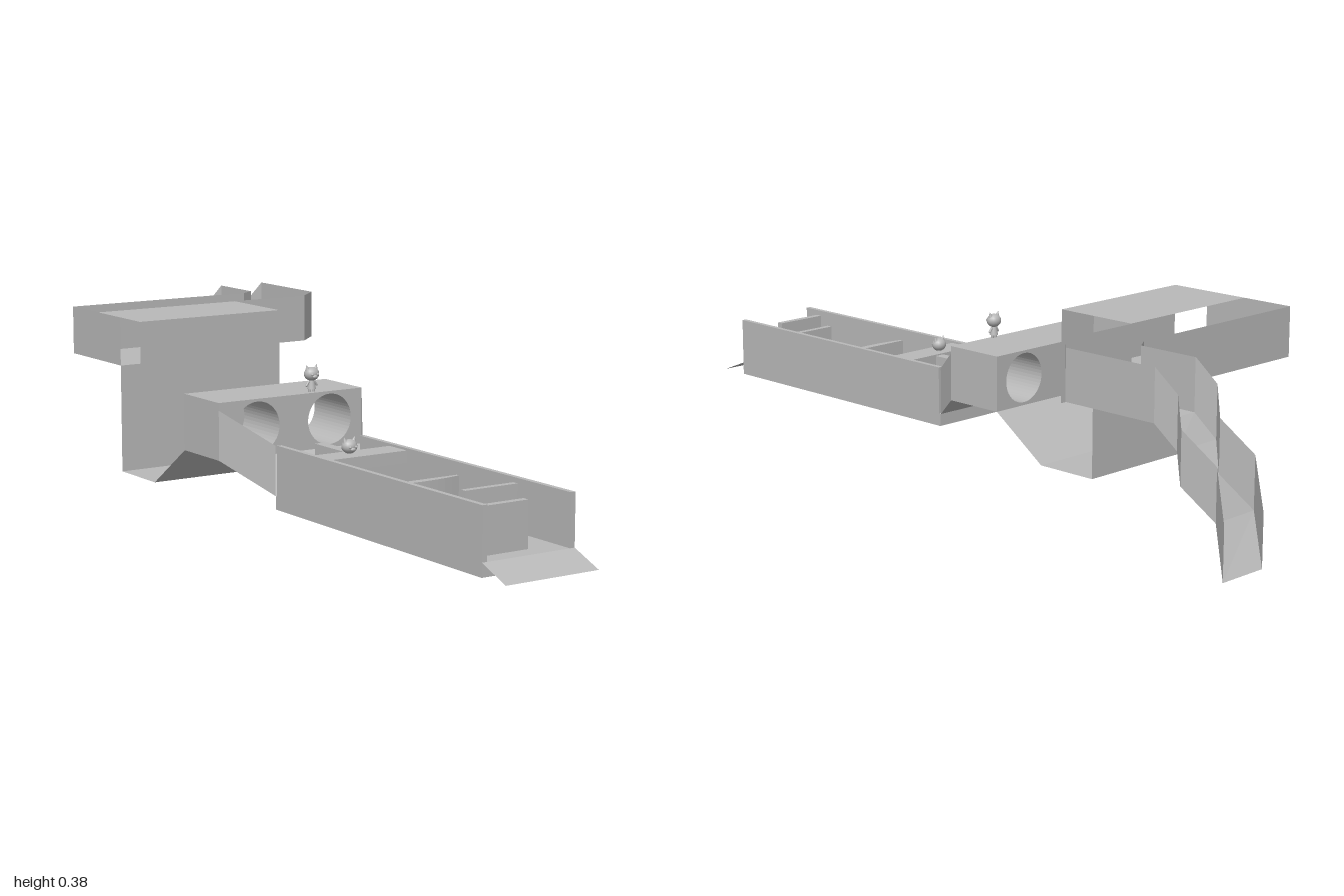
import * as THREE from 'three';

const grey = new THREE.MeshStandardMaterial({ color: 0xb8b8b8, side: THREE.DoubleSide });
grey.name = 'plain grey';

export function createModel() {
  const root = new THREE.Group();
  root.name = 'obstacleCourse';

  const add = (name, geometry, parent = root, x = 0, y = 0, z = 0) => {
    const m = new THREE.Mesh(geometry, grey);
    m.name = name;
    m.position.set(x, y, z);
    parent.add(m);
    return m;
  };
  // Box given by its minimum and maximum corners
  const box = (name, x0, x1, y0, y1, z0, z1) =>
    add(name, new THREE.BoxGeometry(x1 - x0, y1 - y0, z1 - z0), root, (x0 + x1) / 2, (y0 + y1) / 2, (z0 + z1) / 2);
  // Thin sheet spanned between two matching polylines, flat facets
  const sheet = (name, a, b) => {
    const pos = [];
    for (let i = 0; i + 1 < a.length; i++) {
      pos.push(...a[i], ...a[i + 1], ...b[i + 1], ...a[i], ...b[i + 1], ...b[i]);
    }
    const g = new THREE.BufferGeometry();
    g.setAttribute('position', new THREE.Float32BufferAttribute(pos, 3));
    g.computeVertexNormals();
    return add(name, g);
  };
  const raise = (line, h) => line.map(([x, y, z]) => [x, y + h, z]);

  const TL = -0.27, TR = -0.04; // trough sides
  const BL = -0.345, BR = 0.035; // block sides

  // Trough: floor slab, side walls, entry ramp
  box('troughFloor', TL, TR, 0.015, 0.045, 0.185, 0.925);
  box('troughWallRight', TL, TL + 0.012, 0.02, 0.158, 0.19, 0.925);
  box('troughWallLeft', TR - 0.012, TR, 0.02, 0.158, 0.19, 0.925);
  sheet('entryRamp', [[TL, 0.045, 0.925], [TL, 0.015, 1]], [[TR, 0.045, 0.925], [TR, 0.015, 1]]);

  // Staggered barriers inside the trough
  box('barrierFront', -0.258, -0.125, 0.045, 0.145, 0.868, 0.884);
  box('barrierRear', -0.185, -0.052, 0.045, 0.147, 0.742, 0.757);

  // Bowed barrier
  const bow = new THREE.Shape();
  bow.moveTo(-0.258, 0.55);
  bow.lineTo(-0.258, 0.558);
  bow.quadraticCurveTo(-0.155, 0.58, -0.052, 0.558);
  bow.lineTo(-0.052, 0.55);
  const bowGeo = new THREE.ExtrudeGeometry(bow, { depth: 0.085, bevelEnabled: false, curveSegments: 10 });
  bowGeo.rotateX(Math.PI / 2);
  add('bowedBarrier', bowGeo, root, 0, 0.13, 0);

  // T-shaped bridge across the trough
  box('bridgeBar', -0.258, -0.052, 0.125, 0.153, 0.305, 0.37);
  box('bridgeStem', -0.165, -0.14, 0.125, 0.15, 0.18, 0.305);

  // Flared passage from trough to tunnel block
  const flareA = [[TL, 0.045, 0.183], [BL, 0.113, 0.07]];
  const flareB = [[TR, 0.045, 0.183], [BR, 0.113, 0.07]];
  sheet('flareFloor', flareA, flareB);
  sheet('flareWallRight', flareA, raise(flareA, 0.112));
  sheet('flareWallLeft', flareB, raise(flareB, 0.112));

  // Block pierced by two round tunnels
  const face = new THREE.Shape();
  face.moveTo(BL, 0.113);
  face.lineTo(BR, 0.113);
  face.lineTo(BR, 0.242);
  face.lineTo(BL, 0.242);
  for (const cx of [-0.245, -0.053]) {
    const hole = new THREE.Path();
    hole.absarc(cx, 0.178, 0.058, 0, Math.PI * 2, true);
    face.holes.push(hole);
  }
  add('tunnelBlock', new THREE.ExtrudeGeometry(face, { depth: 0.15, bevelEnabled: false, curveSegments: 24 }), root, 0, 0, -0.08);

  // Open shaft: slope, floor and back wall, then the hood above
  const across = (name, yz) => sheet(name, yz.map(([y, z]) => [BL, y, z]), yz.map(([y, z]) => [BR, y, z]));
  across('shaftFloor', [[0.113, -0.08], [0.015, -0.22], [0.015, -0.375], [0.268, -0.375]]);
  across('shaftHood', [[0.17, -0.28], [0.382, -0.28], [0.382, -0.483]]);

  // Upper corridor with a bend
  const Y = 0.268;
  const outer = [[BR, -0.375], [BR, -0.485], [0.24, -0.485], [0.298, -0.54], [0.298, -0.78]];
  const inner = [[BL, -0.375], [BL, -0.612], [0.14, -0.612], [0.175, -0.635], [0.175, -0.78]];
  const plan = new THREE.Shape([...outer, ...inner.slice().reverse()].map(([x, z]) => new THREE.Vector2(x, z)));
  const floorGeo = new THREE.ShapeGeometry(plan);
  floorGeo.rotateX(Math.PI / 2);
  // Turn the triangles so the floor faces up
  const idx = floorGeo.index.array;
  for (let i = 0; i < idx.length; i += 3) [idx[i], idx[i + 1]] = [idx[i + 1], idx[i]];
  floorGeo.computeVertexNormals();
  add('corridorFloor', floorGeo, root, 0, Y, 0);
  for (const [name, line] of [['corridorWallOuter', outer], ['corridorWallInner', inner]]) {
    const base = line.map(([x, z]) => [x, Y, z]);
    sheet(name, base, raise(base, 0.114));
  }

  // Zigzag chute down to the ground
  const chuteL = [[0.175, Y, -0.78], [0.153, 0.215, -0.82], [0.203, 0.163, -0.87], [0.148, 0.086, -0.917], [0.222, 0, -1]];
  const chuteR = [[0.298, Y, -0.78], [0.277, 0.215, -0.823], [0.324, 0.163, -0.873], [0.27, 0.086, -0.92], [0.342, 0, -1]];
  sheet('chuteFloor', chuteL, chuteR);
  sheet('chuteWallRight', chuteL, raise(chuteL, 0.115));
  sheet('chuteWallLeft', chuteR, raise(chuteR, 0.115));

  // Small cat-eared figures
  const figure = (name, x, y, z) => {
    const g = new THREE.Group();
    g.name = name;
    g.position.set(x, y, z);
    root.add(g);
    const ball = (part, r, px, py, pz, sx = 1, sy = 1, sz = 1) =>
      add(part, new THREE.SphereGeometry(r, 16, 12), g, px, py, pz).scale.set(sx, sy, sz);
    ball('head', 0.017, 0, 0.041, 0, 1.06, 0.92, 0.95);
    ball('muzzle', 0.005, 0, 0.036, 0.015, 1.3, 0.8, 0.7);
    add('body', new THREE.CylinderGeometry(0.006, 0.01, 0.02, 14), g, 0, 0.017, 0);
    for (const s of [-1, 1]) {
      const ear = add('ear', new THREE.ConeGeometry(0.006, 0.013, 10), g, s * 0.012, 0.056, 0);
      ear.rotation.z = -s * 0.3;
      ball('eye', 0.003, s * 0.0075, 0.041, 0.0145);
      const arm = add('arm', new THREE.CapsuleGeometry(0.0026, 0.01, 4, 8), g, s * 0.011, 0.019, 0);
      arm.rotation.z = s * 0.6;
      add('leg', new THREE.CylinderGeometry(0.0035, 0.0035, 0.009, 10), g, s * 0.005, 0.0045, 0);
    }
  };
  figure('standingFigure', -0.095, 0.243, 0.06);
  figure('bridgeFigure', -0.175, 0.128, 0.33);

  return root;
}
